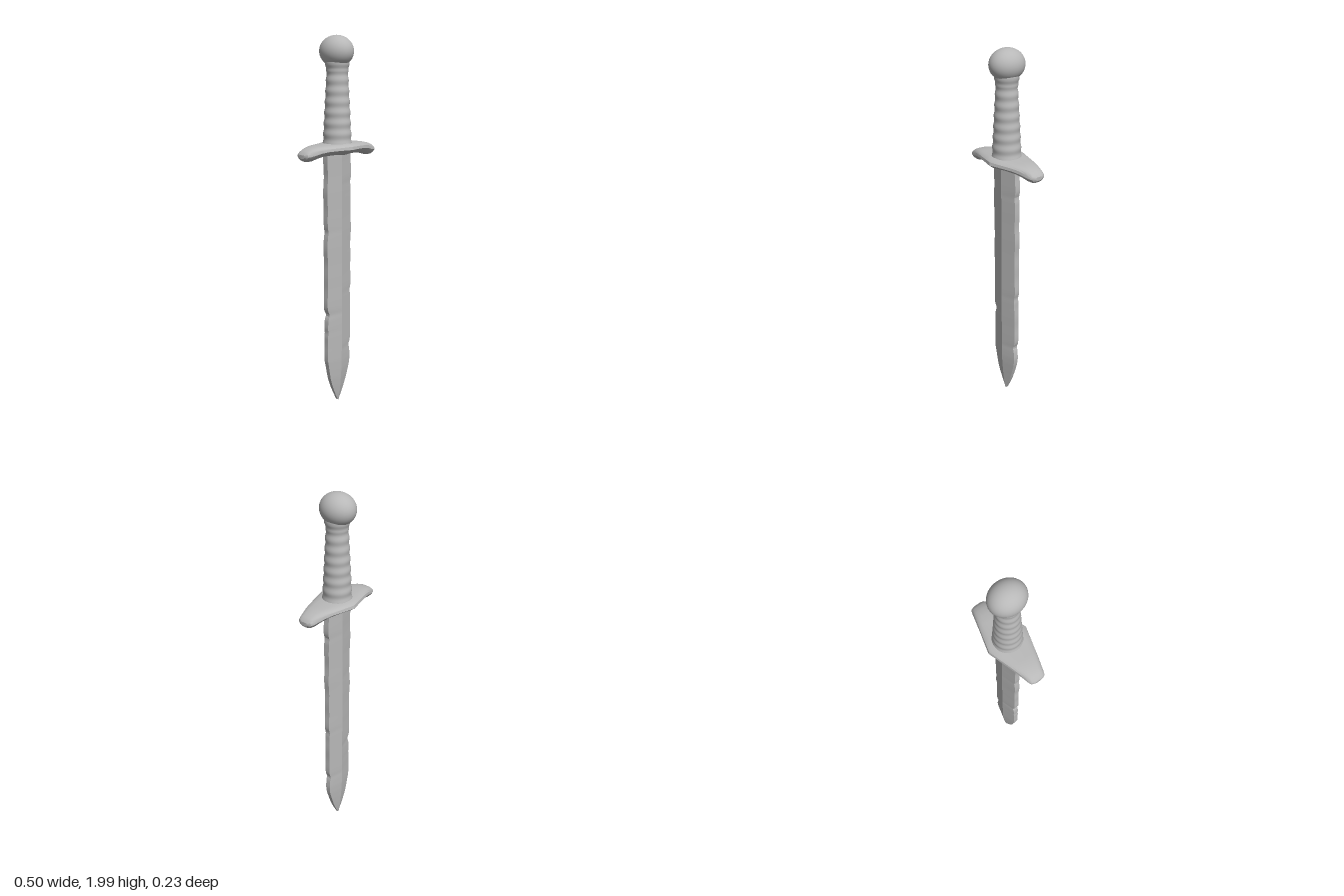
import * as THREE from 'three';
import { toCreasedNormals } from 'three/addons/utils/BufferGeometryUtils.js';

// Skin a list of closed rings (arrays of [x, y, z]) and cap both ends
function loft(rings, crease) {
  const n = rings[0].length, pos = [], idx = [];
  rings.forEach(r => r.forEach(p => pos.push(...p)));
  for (let i = 0; i < rings.length - 1; i++) {
    for (let j = 0; j < n; j++) {
      const k = (j + 1) % n, a = i * n + j, b = i * n + k;
      idx.push(a, b, b + n, a, b + n, a + n);
    }
  }
  [0, rings.length - 1].forEach((i, end) => {
    const c = pos.length / 3;
    pos.push(...[0, 1, 2].map(k => rings[i].reduce((s, p) => s + p[k], 0) / n));
    for (let j = 0; j < n; j++) {
      const a = i * n + j, b = i * n + (j + 1) % n;
      if (end) idx.push(c, a, b); else idx.push(c, b, a);
    }
  });
  const g = new THREE.BufferGeometry();
  g.setAttribute('position', new THREE.Float32BufferAttribute(pos, 3));
  g.setIndex(idx);
  return toCreasedNormals(g, crease);
}

// Linear lookup of column k in a table sorted by its first column
function lookup(table, v, k) {
  let i = 0;
  while (i < table.length - 2 && table[i + 1][0] < v) i++;
  const a = table[i], b = table[i + 1];
  return THREE.MathUtils.mapLinear(v, a[0], b[0], a[k], b[k]);
}

// Worn edge: slight waviness plus a few nicks [y, depth]
function wear(y, nicks, phase) {
  let d = 0.0015 * (Math.sin(y * 23 + phase) + Math.sin(y * 41 + phase * 2));
  nicks.forEach(([ny, depth]) => { d += depth * Math.exp(-(((y - ny) / 0.018) ** 2)); });
  return d;
}

function bladeGeometry() {
  // y, half width, half thickness at the ridge, half thickness at the edge
  const outline = [
    [0.008, 0.003, 0.01, 0.006], [0.05, 0.024, 0.018, 0.008], [0.1, 0.045, 0.024, 0.01],
    [0.15, 0.062, 0.029, 0.012], [0.2, 0.075, 0.033, 0.013], [0.25, 0.083, 0.035, 0.014],
    [0.6, 0.085, 0.037, 0.015], [1.42, 0.086, 0.037, 0.016],
  ];
  const leftNicks = [[0.32, 0.008], [0.64, 0.005], [1.24, 0.006]];
  const rightNicks = [[0.52, 0.011], [0.42, 0.004], [0.98, 0.004]];
  const rings = [], steps = 120;
  for (let i = 0; i <= steps; i++) {
    const y = THREE.MathUtils.lerp(0.008, 1.42, i / steps);
    const [w, t, e] = [1, 2, 3].map(k => lookup(outline, y, k));
    const fade = Math.min(1, y / 0.25);
    const l = w - fade * wear(y, leftNicks, 1);
    const r = w - fade * wear(y, rightNicks, 3);
    rings.push([[l, y, e], [l, y, -e], [0, y, -t], [-r, y, -e], [-r, y, e], [0, y, t]]);
  }
  return loft(rings, 0.3);
}

function guardGeometry() {
  // |x|, top, bottom, half depth
  const arm = [
    [0, 1.457, 1.388, 0.115], [0.06, 1.452, 1.392, 0.097], [0.13, 1.449, 1.39, 0.076],
    [0.17, 1.446, 1.382, 0.064], [0.205, 1.438, 1.372, 0.053], [0.23, 1.428, 1.372, 0.046],
    [0.243, 1.418, 1.379, 0.04], [0.25, 1.408, 1.389, 0.024],
  ];
  const stations = [...arm.slice(1).reverse().map(([x, ...r]) => [-x, ...r]), ...arm];
  const n = 20, sq = v => Math.sign(v) * Math.abs(v) ** 0.65;
  const rings = stations.map(([x, top, bottom, d]) => {
    const ring = [];
    for (let j = 0; j < n; j++) {
      const t = (j / n) * Math.PI * 2, c = sq(Math.cos(t)), s = sq(Math.sin(t));
      // the underside narrows toward the blade
      const taper = c < 0 ? 1 + 0.35 * c : 1;
      ring.push([x, (top + bottom) / 2 + c * (top - bottom) / 2, s * d * taper]);
    }
    return ring;
  });
  return loft(rings, 0.5);
}

function gripGeometry() {
  // Tapering oval grip with soft wrapped ribs and a flared neck
  const half = [[1.43, 0.077], [1.47, 0.074], [1.62, 0.066], [1.8, 0.056], [1.835, 0.057],
    [1.85, 0.063], [1.87, 0.064], [1.9, 0.05]];
  const points = [];
  for (let i = 0; i <= 70; i++) {
    const y = THREE.MathUtils.lerp(1.43, 1.9, i / 70);
    const rib = y < 1.82 ? 0.002 * Math.sin((y - 1.43) * Math.PI * 2 / 0.055) : 0;
    points.push(new THREE.Vector2(lookup(half, y, 1) + rib, y));
  }
  return new THREE.LatheGeometry(points, 32);
}

export function createModel() {
  const steel = new THREE.MeshStandardMaterial({ color: 0xb8b8b8 });
  steel.name = 'grey steel';
  const sword = new THREE.Group();
  sword.name = 'sword';
  const add = (name, geometry) => {
    const mesh = new THREE.Mesh(geometry, steel);
    mesh.name = name;
    sword.add(mesh);
    return mesh;
  };

  add('blade', bladeGeometry());
  add('crossGuard', guardGeometry());
  add('grip', gripGeometry());

  // Slightly oval ball pommel
  const pommel = add('pommel', new THREE.SphereGeometry(1, 32, 20));
  pommel.scale.set(0.083, 0.081, 0.096);
  pommel.position.set(-0.002, 1.919, -0.003);

  return sword;
}
